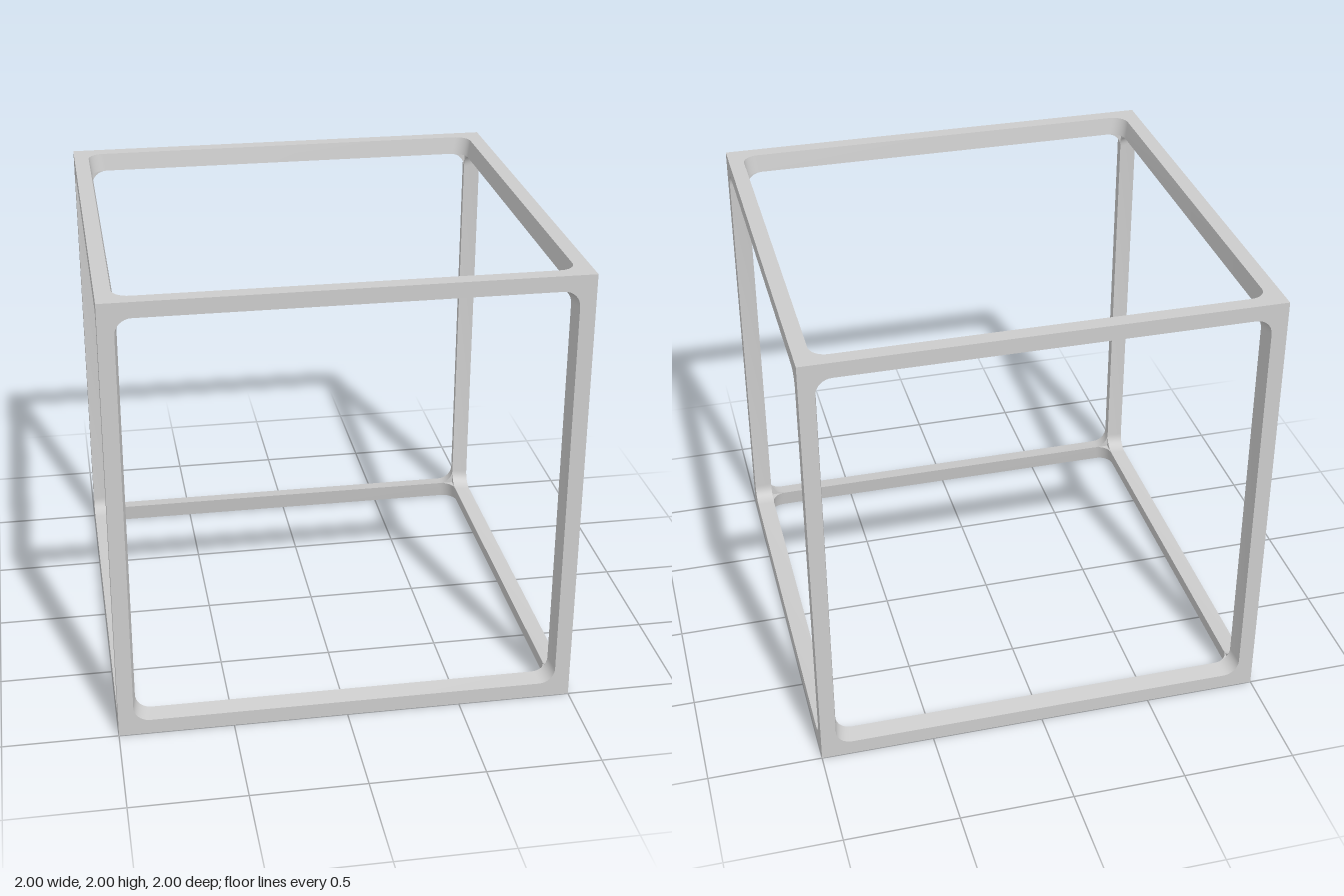
import * as THREE from 'three';
import { toCreasedNormals } from 'three/addons/utils/BufferGeometryUtils.js';

const OUTER = 1;       // half size of the cube
const MOUTH = 0.933;   // half width of each opening at the outer face
const THROAT = 0.92;   // half width at the inner edge, and its depth
const RADIUS = 0.07;   // corner rounding of the openings
const STEPS = 8;

// Counter-clockwise rounded square; radius 0 keeps the same point count
function outline(half, radius, z) {
  const points = [];
  for (let corner = 0; corner < 4; corner++) {
    const mid = Math.PI / 4 + corner * Math.PI / 2;
    const cx = Math.sign(Math.cos(mid)) * (half - radius);
    const cy = Math.sign(Math.sin(mid)) * (half - radius);
    for (let i = 0; i <= STEPS; i++) {
      const a = (corner + i / STEPS) * Math.PI / 2;
      points.push(new THREE.Vector3(cx + radius * Math.cos(a), cy + radius * Math.sin(a), z));
    }
  }
  return points;
}

// Skin successive outlines, leaving out empty triangles
function loft(rings) {
  const positions = [];
  const addTriangle = (a, b, c) => {
    if (new THREE.Triangle(a, b, c).getArea() < 1e-8) return;
    for (const p of [a, b, c]) positions.push(p.x, p.y, p.z);
  };
  for (let r = 0; r < rings.length - 1; r++) {
    const from = rings[r], to = rings[r + 1];
    for (let i = 0; i < from.length; i++) {
      const j = (i + 1) % from.length;
      addTriangle(from[i], from[j], to[j]);
      addTriangle(from[i], to[j], to[i]);
    }
  }
  const geometry = new THREE.BufferGeometry();
  geometry.setAttribute('position', new THREE.Float32BufferAttribute(positions, 3));
  return toCreasedNormals(geometry, Math.PI / 6);
}

export function createModel() {
  const group = new THREE.Group();
  group.name = 'cubeFrame';
  const material = new THREE.MeshStandardMaterial({ color: 0xcccccc });

  // One side: flat border, tapered opening wall, small inner corner webs
  const side = loft([
    outline(OUTER, 0, OUTER),
    outline(MOUTH, RADIUS, OUTER),
    outline(THROAT, RADIUS, THROAT),
    outline(THROAT, 0, THROAT),
  ]);

  // Six identical sides close into a frame of twelve bars
  const turns = {
    frontFrame: [0, 0],
    leftFrame: [0, Math.PI / 2],
    backFrame: [0, Math.PI],
    rightFrame: [0, -Math.PI / 2],
    topFrame: [-Math.PI / 2, 0],
    bottomFrame: [Math.PI / 2, 0],
  };
  for (const [name, [rx, ry]] of Object.entries(turns)) {
    const mesh = new THREE.Mesh(side, material);
    mesh.name = name;
    mesh.rotation.set(rx, ry, 0);
    mesh.position.y = OUTER;
    group.add(mesh);
  }
  return group;
}
